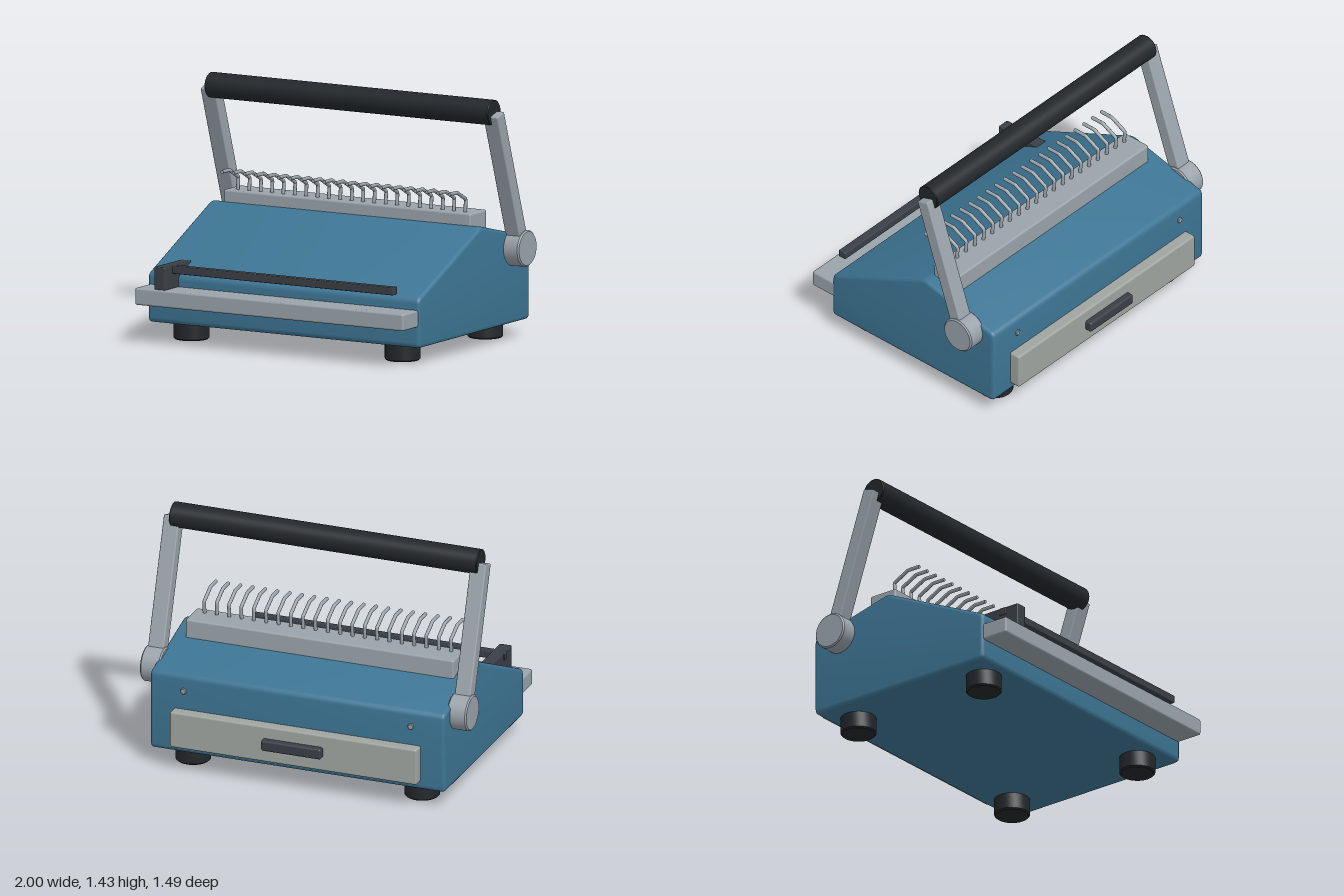
import * as THREE from 'three';
import { toCreasedNormals } from 'three/addons/utils/BufferGeometryUtils.js';
import { RoundedBoxGeometry } from 'three/addons/geometries/RoundedBoxGeometry.js';

const paint = (color) => new THREE.MeshStandardMaterial({ color });

export function createModel() {
  const model = new THREE.Group();
  const blue = paint(0x3d7594), steel = paint(0x9aa3aa), plate = paint(0xa0a5a0);
  const dark = paint(0x3a3f46), rubber = paint(0x23272b);

  const add = (name, geometry, material, x = 0, y = 0, z = 0) => {
    const mesh = new THREE.Mesh(geometry, material);
    mesh.name = name;
    mesh.position.set(x, y, z);
    model.add(mesh);
    return mesh;
  };
  // Rounded box given by its extents on each axis
  const block = (name, material, [x0, x1], [y0, y1], [z0, z1], r = 0.01) =>
    add(name, new RoundedBoxGeometry(x1 - x0, y1 - y0, z1 - z0, 3, r), material,
      (x0 + x1) / 2, (y0 + y1) / 2, (z0 + z1) / 2);
  // Solid cylinder with softened rims, along y
  const drum = (r, h, c = 0.008) => toCreasedNormals(new THREE.LatheGeometry([
    [0, -h / 2], [r - c, -h / 2], [r, -h / 2 + c], [r, h / 2 - c], [r - c, h / 2], [0, h / 2],
  ].map(([a, b]) => new THREE.Vector2(a, b)), 40), 0.6);

  // Housing: side profile (z, y) with rounded corners, extruded across the width
  const corners = [[0.585, 0.1], [0.585, 0.382], [-0.11, 0.705], [-0.64, 0.575], [-0.64, 0.1]]
    .map(([z, y]) => new THREE.Vector2(z, y));
  const profile = new THREE.Shape();
  corners.forEach((p, i) => {
    const toward = (q) => p.clone().add(q.clone().sub(p).setLength(0.03));
    const a = toward(corners[(i + 4) % 5]), b = toward(corners[(i + 1) % 5]);
    if (i === 0) profile.moveTo(a.x, a.y);
    else profile.lineTo(a.x, a.y);
    profile.quadraticCurveTo(p.x, p.y, b.x, b.y);
  });
  profile.closePath();
  const bevel = 0.02;
  const housing = new THREE.ExtrudeGeometry(profile, {
    depth: 1.8 - 2 * bevel, curveSegments: 5,
    bevelSize: bevel, bevelThickness: bevel, bevelOffset: -bevel, bevelSegments: 4,
  });
  housing.translate(0, 0, -(0.9 - bevel)).rotateY(-Math.PI / 2);
  add('housing', toCreasedNormals(housing, 0.5), blue);

  // Feet
  for (const x of [-0.7, 0.7])
    for (const z of [0.433, -0.478]) add('foot', drum(0.102, 0.11), rubber, x, 0.055, z);

  // Front paper shelf, guide rail and side stop
  block('paperShelf', steel, [-0.89, 0.89], [0.222, 0.32], [0.57, 0.745], 0.012);
  block('guideRail', dark, [-0.773, 0.767], [0.405, 0.45], [0.603, 0.653], 0.006);
  block('paperStop', dark, [-0.768, -0.695], [0.318, 0.451], [0.435, 0.733], 0.007);

  // Comb bar with its row of bent fingers
  block('combBar', steel, [-0.82, 0.82], [0.64, 0.77], [-0.297, -0.115], 0.012);
  const bends = [[0.75, -0.166], [0.842, -0.174], [0.894, -0.074], [0.894, 0.008]]
    .map(([y, z]) => new THREE.Vector3(0, y, z));
  const path = new THREE.CurvePath();
  for (let i = 0; i < 3; i++) path.add(new THREE.LineCurve3(bends[i], bends[i + 1]));
  const finger = new THREE.TubeGeometry(path, 24, 0.0105, 10);
  const cap = new THREE.CircleGeometry(0.0105, 10);
  for (let i = 0; i < 21; i++) {
    const x = (i - 10) * 0.0754;
    add('combFinger', finger, steel, x);
    add('fingerTip', cap, steel, x, 0.894, 0.008);
  }

  // Lever: pivots, arms and grip
  const pivot = new THREE.Vector2(-0.452, 0.538), top = new THREE.Vector2(-0.175, 1.348);
  const reach = top.clone().sub(pivot);
  for (const s of [-1, 1]) {
    add('leverPivot', drum(0.105, 0.12), steel, s * 0.938, pivot.y, pivot.x).rotation.z = Math.PI / 2;
    const arm = add('leverArm', new RoundedBoxGeometry(0.096, reach.length(), 0.08, 3, 0.008), steel,
      s * 0.938, (pivot.y + top.y) / 2, (pivot.x + top.x) / 2);
    arm.rotation.x = Math.atan2(reach.x, reach.y);
  }
  add('leverGrip', drum(0.073, 1.88, 0.004), rubber, 0, 1.355, -0.178).rotation.z = Math.PI / 2;

  // Rear drawer with pull, and two screws above it
  block('rearDrawer', plate, [-0.755, 0.755], [0.152, 0.37], [-0.706, -0.62], 0.012);
  block('drawerPull', dark, [-0.183, 0.183], [0.234, 0.298], [-0.745, -0.69], 0.012);
  for (const x of [-0.695, 0.695])
    add('rearScrew', drum(0.018, 0.03, 0.004), steel, x, 0.482, -0.634).rotation.x = Math.PI / 2;

  return model;
}
